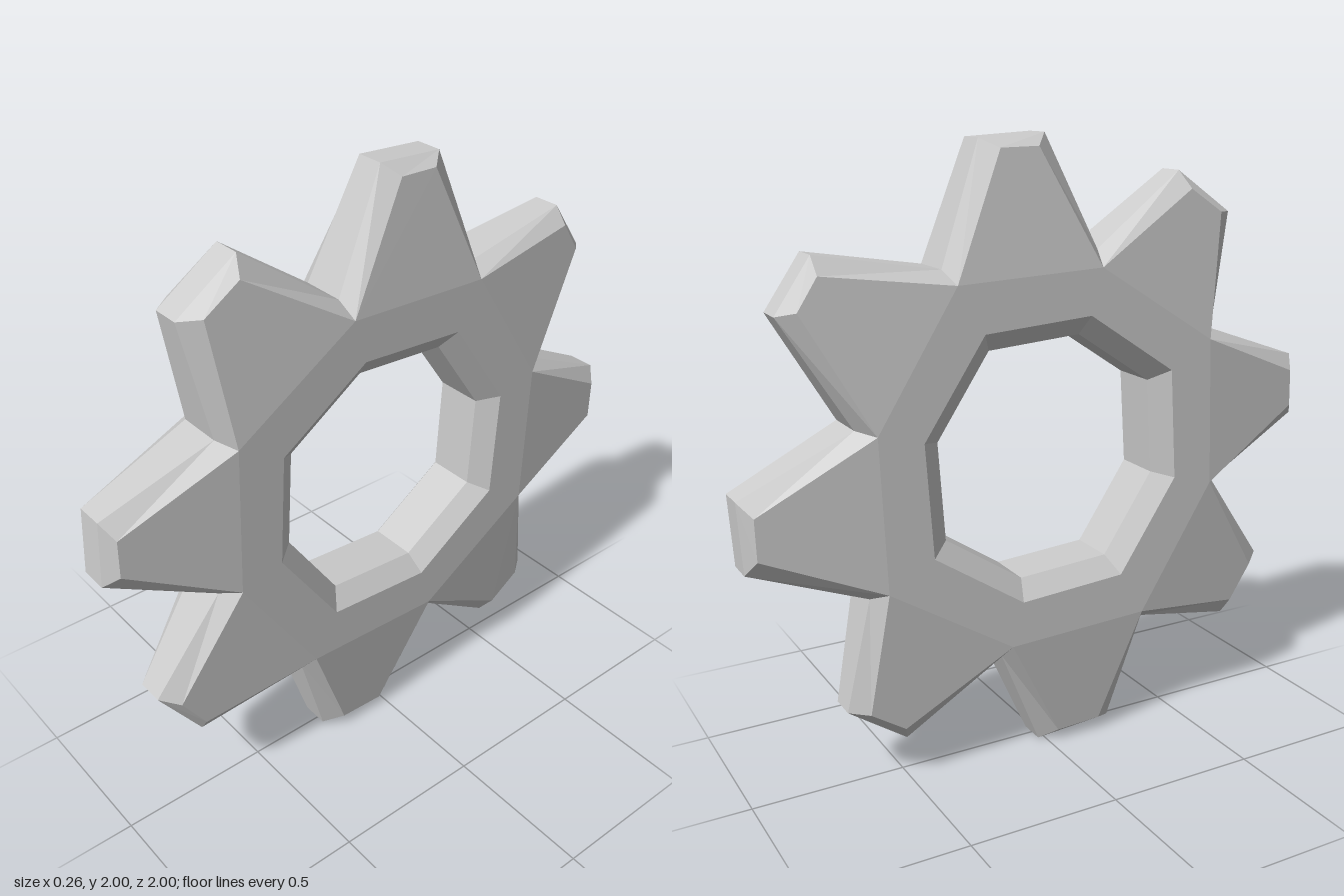
import * as THREE from 'three';

// Point on the wheel: angle in degrees seen from +x (clockwise is decreasing), radius, x offset
const polar = (deg, r, x) => {
  const a = THREE.MathUtils.degToRad(deg);
  return new THREE.Vector3(x, 1 + r * Math.sin(a), -r * Math.cos(a));
};

// Leading and trailing tip angle of each hand-shaped tooth
const teeth = [[90, 77.4], [42.6, 31.2], [0.3, -12.6], [-46.5, -60],
  [-88.8, -104.4], [-136.5, -150.8], [-180.9, -193.1], [-226.7, -240.7]];

// Valleys and hole corners share the same eight angles and alternate in radius
const cornerAngle = k => 105 - 45 * k;
const corners = (even, odd, x) =>
  teeth.map((_, k) => polar(cornerAngle(k), k % 2 ? odd : even, x));

// Toothed loop: valley, tip, tip for each tooth
function outline(valleyRadii, valleyX, tipScale, narrowing, tipX) {
  const points = [];
  const valleys = corners(valleyRadii[0], valleyRadii[1], valleyX);
  teeth.forEach(([a, b], k) => {
    const inset = (a - b) * narrowing;
    const [ra, rb] = k % 2 ? [1.008, 1.0] : [0.998, 1.01];
    points.push(valleys[k],
      polar(a - inset, ra * tipScale, tipX),
      polar(b + inset, rb * tipScale, tipX));
  });
  return points;
}

export function createModel() {
  const positions = [];
  const quad = (a, b, c, d) => {
    for (const p of [a, b, c, a, c, d]) positions.push(p.x, p.y, p.z);
  };
  // Band of quads between two closed loops of equal length
  const stitch = (A, B) => A.forEach((p, i) => {
    const j = (i + 1) % A.length;
    quad(p, A[j], B[j], B[i]);
  });
  const valleysOf = loop => loop.filter((_, i) => i % 3 === 0);

  // Loops for one side of the wheel (s = +1 or -1)
  const side = s => ({
    bore: corners(0.4, 0.422, 0.08 * s),
    rim: corners(0.466, 0.492, 0.13 * s),
    face: outline([0.617, 0.666], 0.13 * s, 0.963, 0.2, 0.09 * s),
    edge: outline([0.668, 0.714], 0.072 * s, 1, 0, 0.045 * s),
  });
  const R = side(1), L = side(-1);

  // Flat ring faces around the hole
  stitch(R.rim, valleysOf(R.face));
  stitch(valleysOf(L.face), L.rim);

  // Tapered tooth faces
  teeth.forEach((_, k) => {
    const ids = [0, 1, 2, 3].map(n => (3 * k + n) % 24);
    const [v0, t0, t1, v1] = ids.map(i => R.face[i]);
    quad(v0, v1, t1, t0);
    const [w0, u0, u1, w1] = ids.map(i => L.face[i]);
    quad(w0, u0, u1, w1);
  });

  // Bevelled outer edge
  stitch(R.face, R.edge);
  stitch(R.edge, L.edge);
  stitch(L.edge, L.face);

  // Bevelled hole
  stitch(L.rim, L.bore);
  stitch(L.bore, R.bore);
  stitch(R.bore, R.rim);

  const geometry = new THREE.BufferGeometry();
  geometry.setAttribute('position', new THREE.Float32BufferAttribute(positions, 3));
  geometry.computeVertexNormals();

  const gear = new THREE.Mesh(geometry,
    new THREE.MeshStandardMaterial({ color: 0xcccccc, flatShading: true }));
  gear.name = 'gearWheel';

  const group = new THREE.Group();
  group.name = 'gear';
  group.add(gear);
  return group;
}
